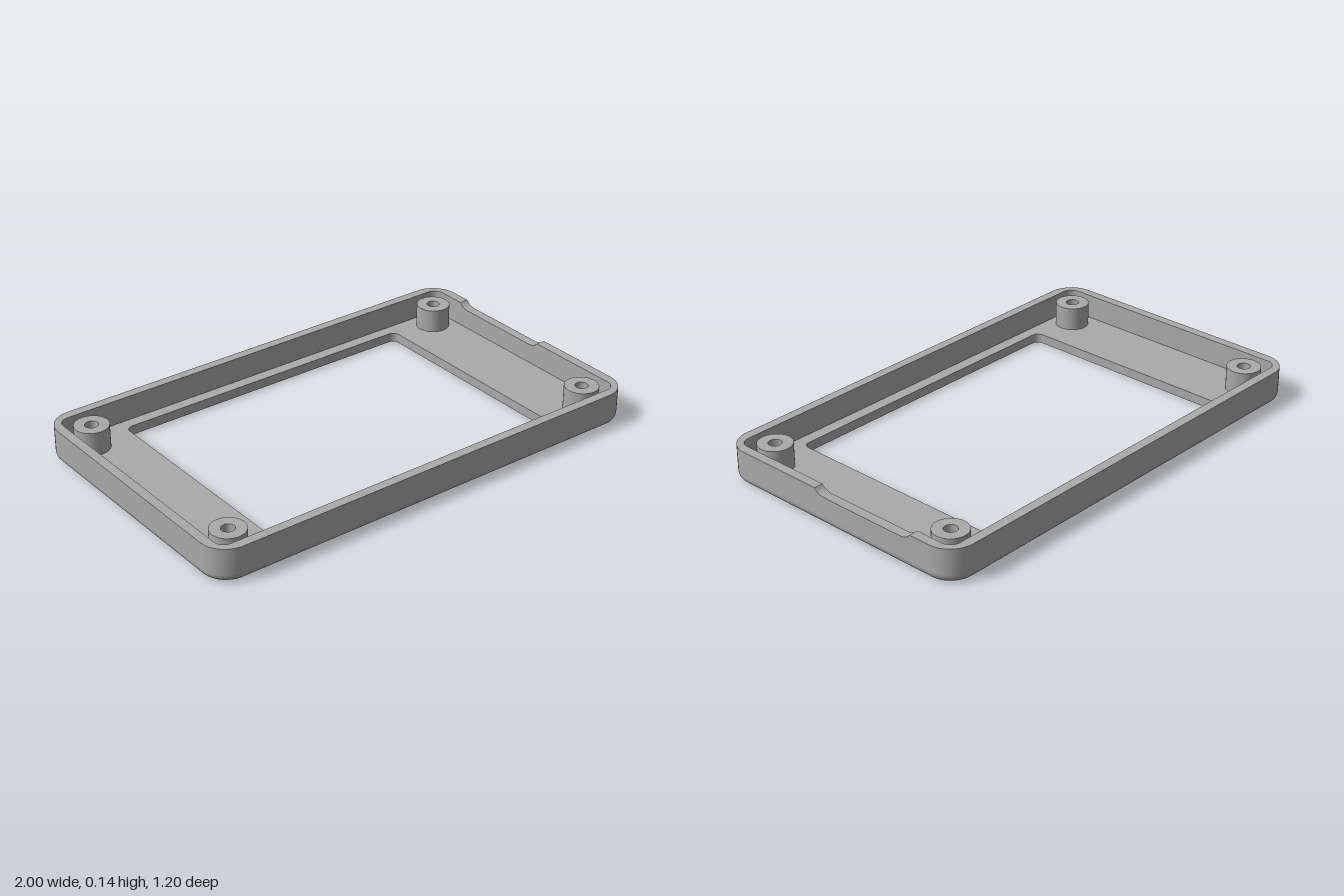
import * as THREE from 'three';
import { toCreasedNormals } from 'three/addons/utils/BufferGeometryUtils.js';

const HEIGHT = 0.145, FLOOR = 0.04, FILLET = 0.035;

// Cable notch in the +x wall: flat bottom with an arc at each end
const NOTCH = { from: -0.395, to: 0.095, depth: 0.022, run: 0.045, radius: 0.058 };
const notchStations = [];
for (let i = 0; i <= 6; i++) notchStations.push(NOTCH.from + NOTCH.run * i / 6);
for (let i = 6; i >= 0; i--) notchStations.push(NOTCH.to - NOTCH.run * i / 6);

function rimHeight(x, z) {
  if (x < 0.9 || z <= NOTCH.from || z >= NOTCH.to) return HEIGHT;
  const fromEnd = Math.min(z - NOTCH.from, NOTCH.to - z);
  const t = Math.max(0, NOTCH.run - fromEnd);
  const y = HEIGHT - NOTCH.depth + NOTCH.radius - Math.sqrt(NOTCH.radius ** 2 - t * t);
  return Math.min(HEIGHT, y);
}

// Rounded rectangle as a closed ring of points; height may be a number or a rule
function ring(hx, hz, r, height) {
  const pts = [];
  const segments = 10;
  const add = (x, z) =>
    pts.push([x, typeof height === 'function' ? height(x, z) : height, z]);
  [[1, 1], [-1, 1], [-1, -1], [1, -1]].forEach(([sx, sz], corner) => {
    for (let i = 0; i <= segments; i++) {
      const a = (corner + i / segments) * Math.PI / 2;
      add(sx * (hx - r) + r * Math.cos(a), sz * (hz - r) + r * Math.sin(a));
    }
  });
  notchStations.forEach((z) => add(hx, z));
  return pts;
}

// Skin through a list of rings
function skin(rings) {
  const n = rings[0].length, index = [];
  for (let j = 0; j < rings.length - 1; j++) {
    for (let i = 0; i < n; i++) {
      const a = j * n + i, b = j * n + (i + 1) % n;
      index.push(a, a + n, b, b, a + n, b + n);
    }
  }
  const g = new THREE.BufferGeometry();
  g.setAttribute('position', new THREE.Float32BufferAttribute(rings.flat(2), 3));
  g.setIndex(index);
  g.computeVertexNormals();
  return g;
}

export function createModel() {
  const model = new THREE.Group();
  model.name = 'enclosureBezel';
  const grey = new THREE.MeshStandardMaterial({ color: 0xaaaaaa });
  grey.name = 'grey plastic';

  const addPart = (name, geometry, parent = model) => {
    const mesh = new THREE.Mesh(geometry, grey);
    mesh.name = name;
    parent.add(mesh);
    return mesh;
  };

  const outer = (inset, y) => ring(1 - inset, 0.6 - inset, 0.11 - inset, y);
  const inner = (y) => ring(0.96, 0.56, 0.045, y);
  const opening = (y) => ring(0.685, 0.51, 0.03, y);

  // Outside wall with the rounded lower edge
  const outerRings = [];
  for (let i = 0; i <= 8; i++) {
    const a = i / 8 * Math.PI / 2;
    outerRings.push(outer(FILLET * (1 - Math.sin(a)), FILLET * (1 - Math.cos(a))));
  }
  outerRings.push(outer(0, rimHeight));
  addPart('outerWall', skin(outerRings));

  // Rim, inside wall, floor, window edge and underside
  addPart('rim', toCreasedNormals(skin([outer(0, rimHeight), inner(rimHeight)]), 0.5));
  addPart('innerWall', skin([inner(rimHeight), inner(FLOOR)]));
  addPart('floor', skin([inner(FLOOR), opening(FLOOR)]));
  addPart('windowEdge', skin([opening(FLOOR), opening(0)]));
  addPart('underside', skin([opening(0), outer(FILLET, 0)]));

  // Screw posts with blind holes
  const profile = [[0.071, FLOOR], [0.071, 0.14], [0.027, 0.14], [0.027, FLOOR + 0.002], [0, FLOOR + 0.002]]
    .map(([x, y]) => new THREE.Vector2(x, y));
  const postGeometry = toCreasedNormals(new THREE.LatheGeometry(profile, 40), 0.6);
  const posts = new THREE.Group();
  posts.name = 'screwPosts';
  for (const sx of [-1, 1]) {
    for (const sz of [-1, 1]) {
      addPart('screwPost', postGeometry, posts).position.set(sx * 0.864, 0, sz * 0.465);
    }
  }
  model.add(posts);
  return model;
}
